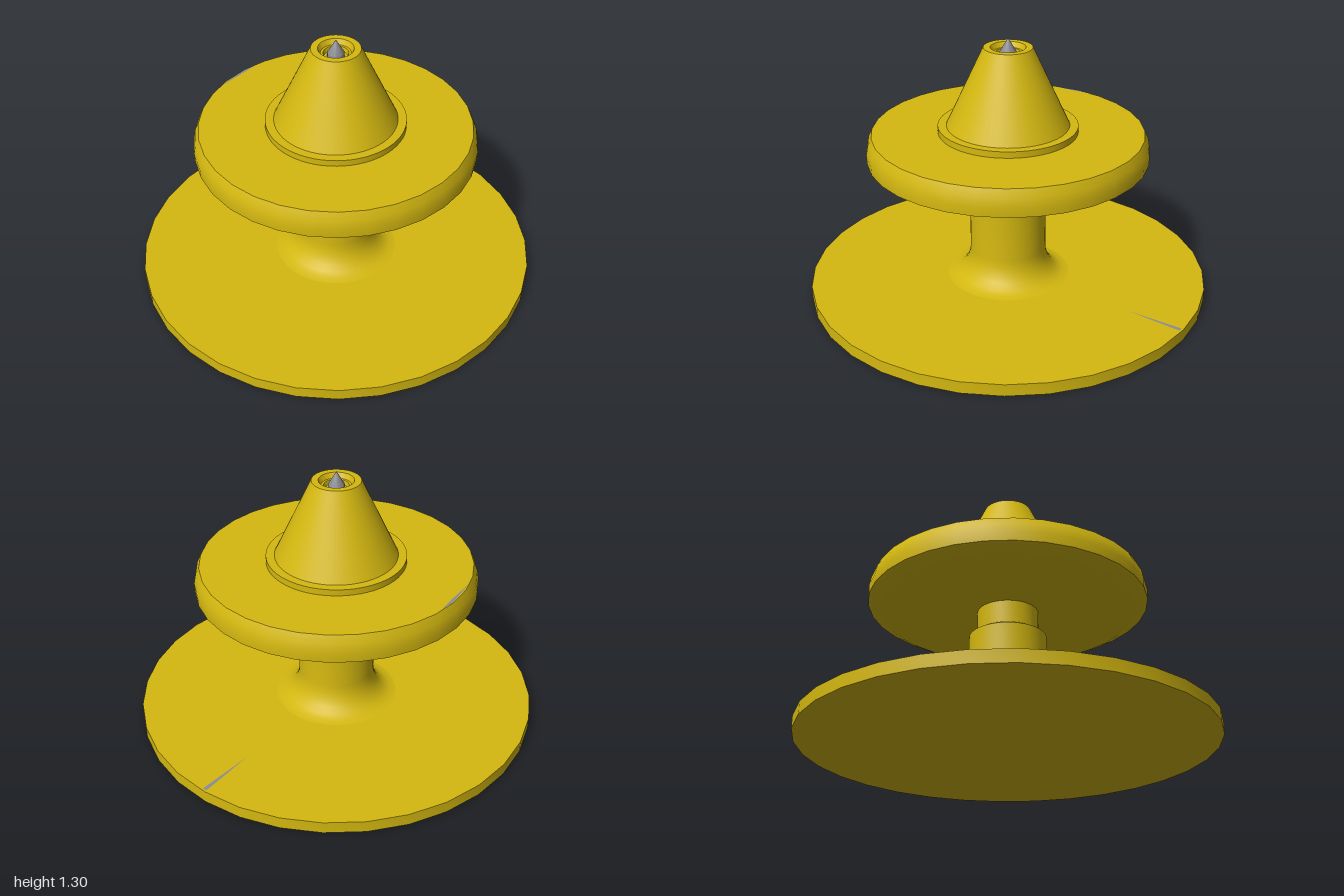
import * as THREE from 'three';
import { toCreasedNormals } from 'three/addons/utils/BufferGeometryUtils.js';

export function createModel() {
  const model = new THREE.Group();
  const brass = new THREE.MeshStandardMaterial({ color: 0xd4b810 });
  brass.name = 'brass yellow';
  const steel = new THREE.MeshStandardMaterial({ color: 0x8c8c94 });
  steel.name = 'steel grey';

  function add(name, geometry, material) {
    const mesh = new THREE.Mesh(geometry, material);
    mesh.name = name;
    model.add(mesh);
    return mesh;
  }

  // Turned part: [radius, height] pairs, from the bottom up the outside
  function turned(name, profile, segments, material = brass) {
    const points = profile.map(([r, y]) => new THREE.Vector2(r, y));
    return add(name, toCreasedNormals(new THREE.LatheGeometry(points, segments), 0.55), material);
  }

  // Wide foot plate
  turned('basePlate', [[0, 0], [1, 0], [1, 0.06], [0, 0.06]], 32);

  // Stem with a flared foot, a chamfered shoulder and a thinner neck
  const flare = [];
  for (let i = 0; i <= 6; i++) {
    const a = (i / 6) * Math.PI / 2;
    flare.push([0.31 - 0.12 * Math.sin(a), 0.21 - 0.15 * Math.cos(a)]);
  }
  turned('stem', [...flare, [0.19, 0.545], [0.165, 0.56], [0.15, 0.56], [0.15, 0.69]], 48);

  // Platter with a bevelled lower edge and a rounded rim
  turned('platter', [
    [0, 0.68], [0.63, 0.68], [0.69, 0.71], [0.692, 0.755], [0.683, 0.8], [0.665, 0.838], [0, 0.838],
  ], 32);

  // Low collar under the cone
  turned('collar', [[0.342, 0.83], [0.342, 0.87], [0, 0.87]], 64);

  // Cone with a stepped recess in its top
  turned('cone', [
    [0.3, 0.87], [0.118, 1.26], [0.085, 1.26], [0.072, 1.235], [0.06, 1.235], [0.055, 1.215], [0, 1.215],
  ], 64);

  // Pointed centre pin
  turned('centrePin', [[0.04, 1.21], [0.04, 1.238], [0, 1.305]], 24, steel);

  // Fine wedge mark lying on the foot plate
  const wedge = new THREE.Shape([[0, 0.99], [0.022, 0.99], [0.006, 0.7]].map(([x, y]) => new THREE.Vector2(x, y)));
  const footMark = add('footMark', new THREE.ShapeGeometry(wedge), steel);
  footMark.rotation.x = -Math.PI / 2;
  footMark.position.y = 0.062;

  // Thin sliver mark along the edge of the platter top
  const sliver = new THREE.Shape([[-0.655, 0.08], [-0.664, 0], [-0.635, -0.19], [-0.645, -0.02]]
    .map(([x, y]) => new THREE.Vector2(x, y)));
  const platterMark = add('platterMark', new THREE.ShapeGeometry(sliver), steel);
  platterMark.rotation.x = -Math.PI / 2;
  platterMark.position.y = 0.84;

  return model;
}
